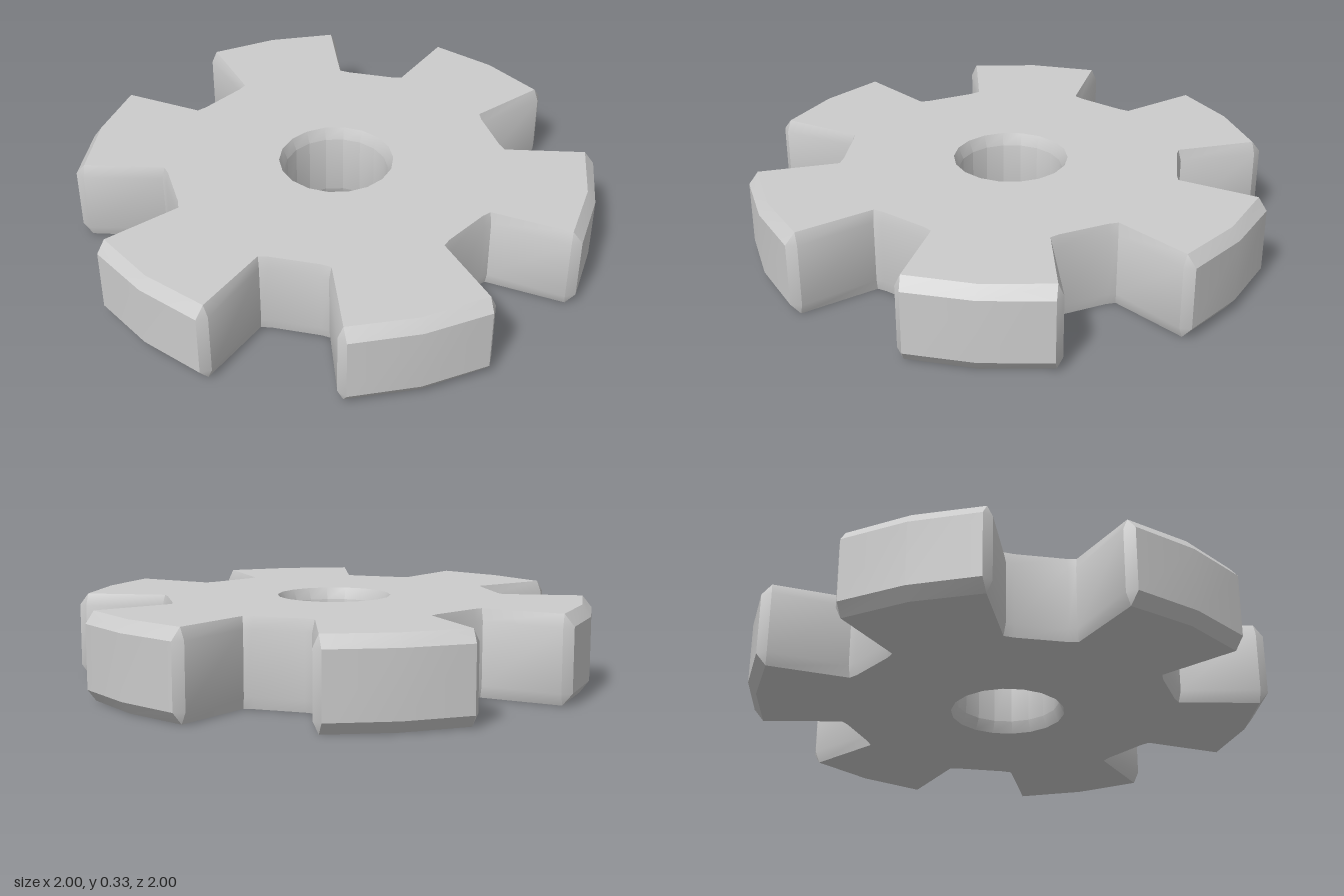
import * as THREE from 'three';
import { mergeGeometries, toCreasedNormals } from 'three/addons/utils/BufferGeometryUtils.js';

const TEETH = 6, HEIGHT = 0.33, BEVEL = 0.045, HOLE_SIDES = 18;

// Half of a tooth, [radius, degrees from the tooth centre], valley to tip
const RIM = [[0.655, 21.6], [0.668, 19.1], [0.97, 16.8], [1, 15], [0.993, 0]];
const FACE = [[0.645, 21.6], [0.658, 18.4], [0.965, 15.6], [0.965, 15.6], [0.96, 0]];

const polar = (r, deg) => {
  const a = THREE.MathUtils.degToRad(deg);
  return new THREE.Vector2(r * Math.cos(a), r * Math.sin(a));
};

// Mirror the half tooth and repeat it around the wheel
function gearOutline(half) {
  const tooth = [
    ...half.map(([r, d]) => [r, -d]),
    ...half.slice(0, -1).reverse(),
  ];
  const points = [];
  for (let i = 0; i < TEETH; i++) {
    for (const [r, d] of tooth) points.push(polar(r, d - 15 + i * 360 / TEETH));
  }
  return points;
}

const circle = (r) =>
  Array.from({ length: HOLE_SIDES }, (_, i) => polar(r, (i * 360) / HOLE_SIDES));

// Wall through a stack of [outline, height] rings
function wall(rings) {
  const pos = [];
  const tri = (...v) => {
    if (new THREE.Triangle(...v).getArea() > 1e-7) v.forEach((p) => pos.push(p.x, p.y, p.z));
  };
  for (let k = 0; k < rings.length - 1; k++) {
    const at = ([outline, y], i) => {
      const p = outline[i % outline.length];
      return new THREE.Vector3(p.x, y, -p.y);
    };
    for (let i = 0; i < rings[k][0].length; i++) {
      const a = at(rings[k], i), b = at(rings[k], i + 1);
      const c = at(rings[k + 1], i + 1), d = at(rings[k + 1], i);
      tri(a, b, c);
      tri(a, c, d);
    }
  }
  const g = new THREE.BufferGeometry();
  g.setAttribute('position', new THREE.Float32BufferAttribute(pos, 3));
  return g;
}

// Flat face with the bore cut out
function cap(outline, hole, y, down) {
  const shape = new THREE.Shape(outline);
  shape.holes.push(new THREE.Path(hole));
  const g = new THREE.ShapeGeometry(shape).rotateX(-Math.PI / 2).translate(0, y, 0);
  if (down) g.index.array.reverse();
  const flat = g.toNonIndexed();
  flat.deleteAttribute('uv');
  flat.deleteAttribute('normal');
  return flat;
}

export function createModel() {
  const group = new THREE.Group();
  group.name = 'gearWheel';
  const rim = gearOutline(RIM), face = gearOutline(FACE);
  const bore = circle(0.2), boreEdge = circle(0.22);

  const geometry = mergeGeometries([
    // Toothed outside with bevels above and below
    wall([[face, 0], [rim, BEVEL], [rim, HEIGHT - BEVEL], [face, HEIGHT]]),
    // Bore, top to bottom so that it faces inward
    wall([[boreEdge, HEIGHT], [bore, HEIGHT - BEVEL], [bore, BEVEL], [boreEdge, 0]]),
    cap(face, boreEdge, HEIGHT, false),
    cap(face, boreEdge, 0, true),
  ]);

  const gear = new THREE.Mesh(
    toCreasedNormals(geometry, 0.5),
    new THREE.MeshStandardMaterial({ color: 0xcccccc })
  );
  gear.name = 'gear';
  group.add(gear);
  return group;
}
